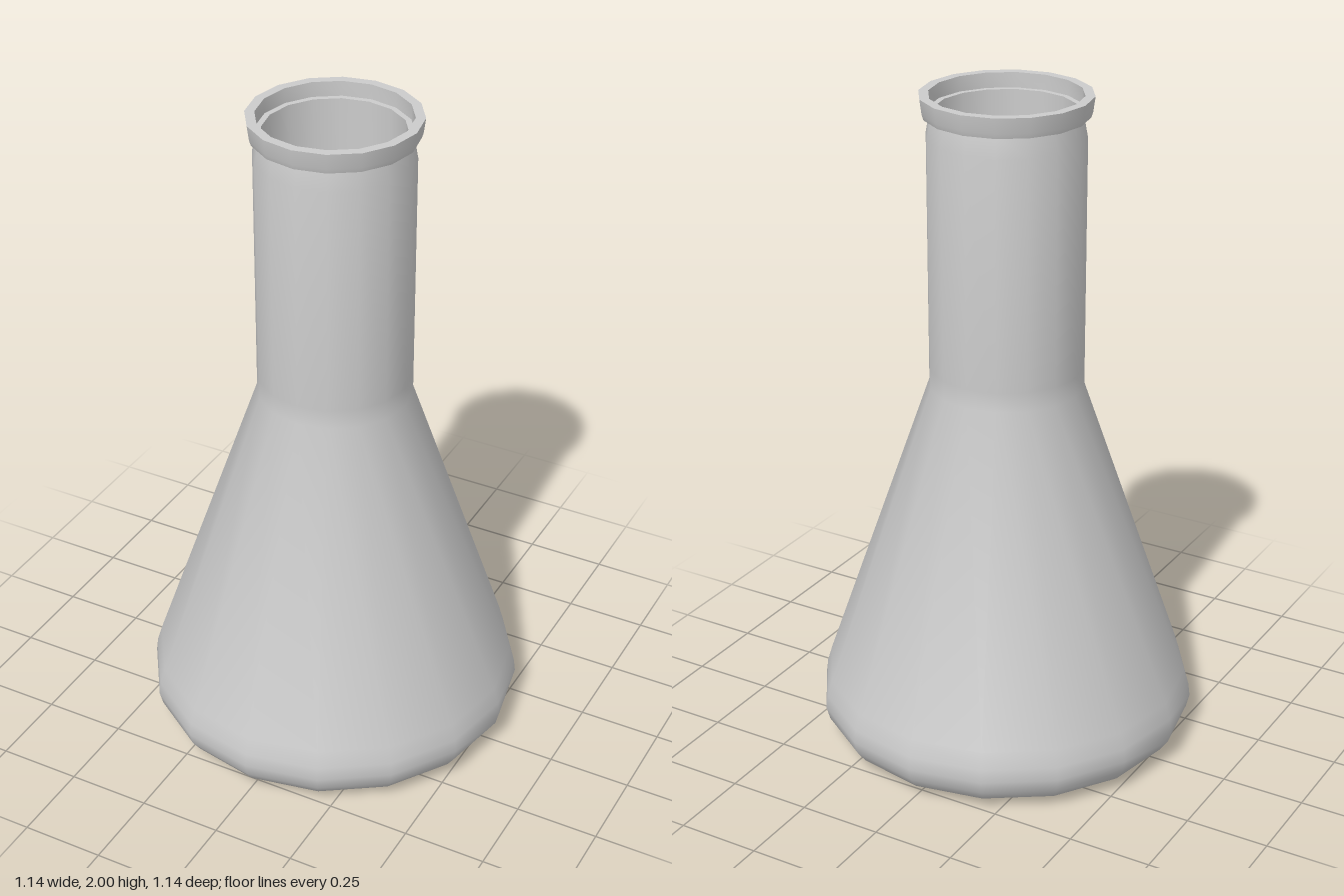
import * as THREE from 'three';
import { toCreasedNormals } from 'three/addons/utils/BufferGeometryUtils.js';

const SIDES = 16;

export function createModel() {
  const flask = new THREE.Group();
  flask.name = 'conicalFlask';
  const glass = new THREE.MeshStandardMaterial({ color: 0xcccccc });

  // Revolves a [radius, height] profile; smooth around, sharp at hard corners
  const revolve = (name, profile) => {
    const points = profile.map(([r, y]) => new THREE.Vector2(r, y));
    const geometry = toCreasedNormals(new THREE.LatheGeometry(points, SIDES), 0.7);
    const mesh = new THREE.Mesh(geometry, glass);
    mesh.name = name;
    flask.add(mesh);
  };

  // Flat base, rounded heel, conical wall and straight neck
  revolve('outerWall', [
    [0, 0], [0.455, 0], [0.495, 0.01], [0.535, 0.035], [0.56, 0.07],
    [0.57, 0.11], [0.565, 0.15], [0.55, 0.2], [0.229, 1.13], [0.229, 1.19],
    [0.229, 1.88], [0.218, 1.94],
  ]);

  // Flared rim with a recessed ledge inside the mouth
  revolve('rim', [
    [0.218, 1.94], [0.237, 1.94], [0.242, 1.955], [0.248, 2],
    [0.22, 2], [0.22, 1.955], [0.203, 1.955],
  ]);

  // Hollow interior, following the outer wall down to the floor
  revolve('innerWall', [
    [0.203, 1.955], [0.203, 1.19], [0.203, 1.13], [0.523, 0.2],
    [0.54, 0.13], [0.525, 0.07], [0.475, 0.035], [0.44, 0.03], [0, 0.03],
  ]);

  return flask;
}
